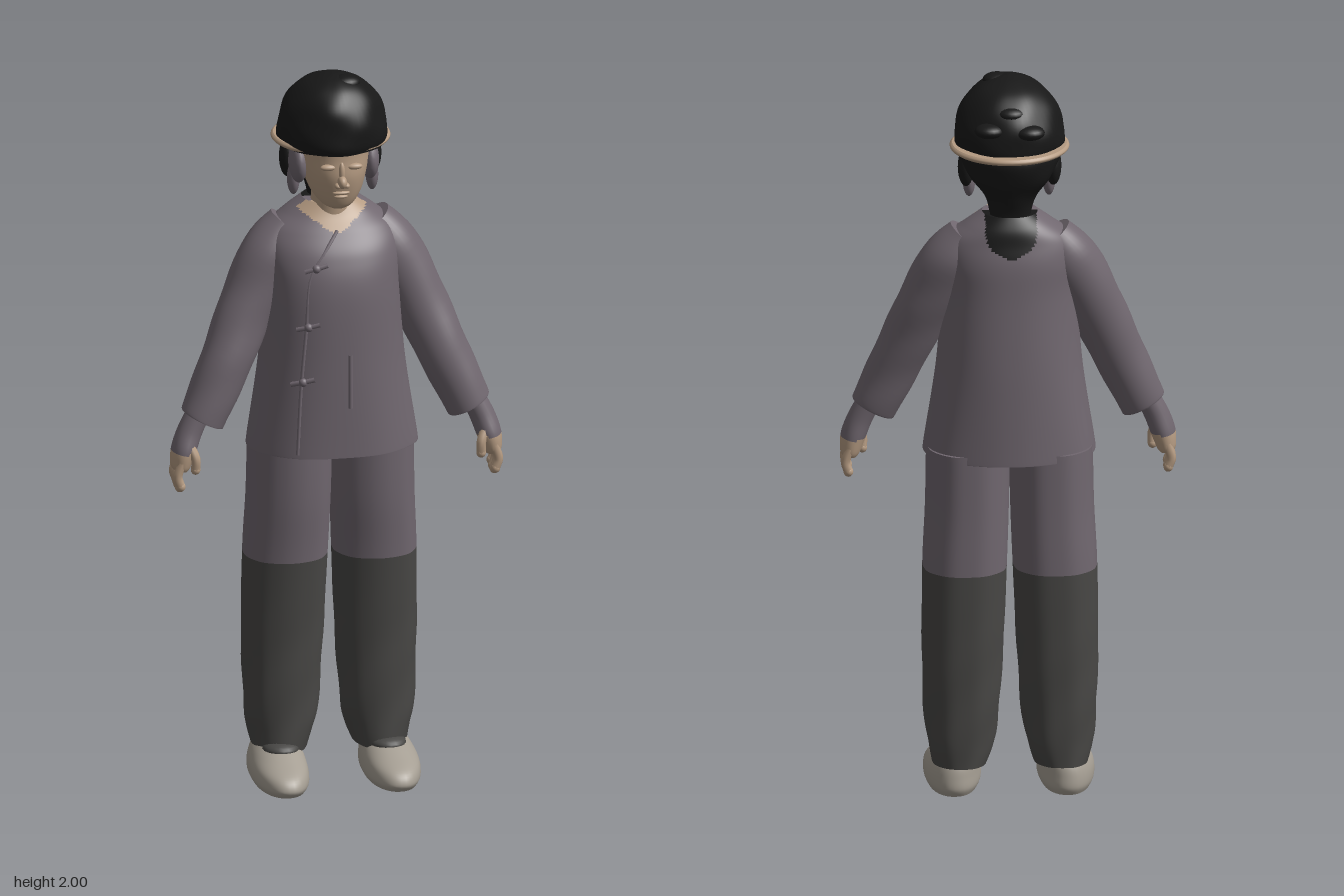
import * as THREE from 'three';

const mat = (name, color) => Object.assign(new THREE.MeshStandardMaterial({ color }), { name });

// Catmull-Rom interpolation of one number
const cr = (a, b, c, d, t) =>
  0.5 * (2 * b + (c - a) * t + (2 * a - 5 * b + 4 * c - d) * t * t + (3 * b - a - 3 * c + d) * t * t * t);

// Skin through rings [x, y, z, rx, rz, tilt], listed bottom to top.
// pick(x, y, z) chooses the material index of each face.
function loft(rings, { seg = 40, steps = 6, n = 2, side = 1, ripple = () => 1, pick = () => 0 } = {}) {
  const pos = [], rows = [];
  const at = (i) => rings[Math.max(0, Math.min(rings.length - 1, i))];
  for (let i = 0; i < rings.length; i++) {
    for (let k = 0; k < (i < rings.length - 1 ? steps : 1); k++) {
      rows.push([0, 1, 2, 3, 4, 5].map((j) =>
        cr(at(i - 1)[j] || 0, at(i)[j] || 0, at(i + 1)[j] || 0, at(i + 2)[j] || 0, k / steps)));
    }
  }
  const power = (v) => Math.sign(v) * Math.abs(v) ** (2 / n);
  const addRing = ([x, y, z, rx, rz, tilt]) => {
    for (let s = 0; s < seg; s++) {
      const a = (s / seg) * Math.PI * 2, w = ripple(a, y);
      const u = rx * power(Math.cos(a)) * w, v = rz * power(Math.sin(a)) * w;
      pos.push(side * x + u * Math.cos(tilt), y + side * u * Math.sin(tilt), z + v);
    }
  };
  rows.forEach(addRing);
  const buckets = [];
  const face = (...f) => {
    const c = [0, 1, 2].map((j) => f.reduce((sum, i) => sum + pos[i * 3 + j], 0) / f.length);
    const m = pick(...c);
    (buckets[m] ||= []).push(f[0], f[1], f[2]);
    if (f.length > 3) buckets[m].push(f[0], f[2], f[3]);
  };
  for (let r = 0; r < rows.length - 1; r++) {
    for (let s = 0; s < seg; s++) {
      const a = r * seg + s, b = r * seg + ((s + 1) % seg);
      face(a, a + seg, b + seg, b);
    }
  }
  // end caps with their own vertices
  [[rows[0], false], [rows[rows.length - 1], true]].forEach(([row, top]) => {
    const first = pos.length / 3;
    addRing(row);
    pos.push(side * row[0], row[1], row[2]);
    for (let s = 0; s < seg; s++) {
      const a = first + s, b = first + ((s + 1) % seg);
      if (top) face(first + seg, b, a); else face(first + seg, a, b);
    }
  });
  const geo = new THREE.BufferGeometry();
  geo.setAttribute('position', new THREE.Float32BufferAttribute(pos, 3));
  const index = [];
  buckets.forEach((list, m) => {
    geo.addGroup(index.length, list.length, m);
    for (const i of list) index.push(i);
  });
  geo.setIndex(index);
  geo.computeVertexNormals();
  return geo;
}

export function createModel() {
  const model = new THREE.Group();
  const cloth = mat('mauve cloth', 0x70676f);
  const dark = mat('charcoal cloth', 0x484745);
  const black = mat('black hair', 0x181818);
  const skin = mat('skin', 0xb59b82);
  const shoe = mat('pale shoe', 0xa59e93);

  const add = (name, geo, material) => {
    const mesh = new THREE.Mesh(geo, material);
    mesh.name = name;
    model.add(mesh);
    return mesh;
  };
  const blob = (name, material, [x, y, z], [rx, ry, rz]) => {
    const geo = new THREE.SphereGeometry(1, 20, 14).scale(rx, ry, rz);
    add(name, geo, material).position.set(x, y, z);
  };
  const tube = (name, points, radius, material) => {
    const curve = new THREE.CatmullRomCurve3(points.map((p) => new THREE.Vector3(...p)));
    add(name, new THREE.TubeGeometry(curve, 24, radius, 8), material);
  };

  // jacket body, with the open neck in front and hair lying on the back
  const torso = [
    [0, 0.95, -0.02, 0.232, 0.170], [0, 0.975, -0.02, 0.230, 0.170], [0, 1.2, -0.018, 0.197, 0.166],
    [0, 1.4, -0.015, 0.185, 0.156], [0, 1.5, -0.025, 0.188, 0.140], [0, 1.56, -0.038, 0.172, 0.114],
    [0, 1.6, -0.05, 0.125, 0.092], [0, 1.635, -0.05, 0.075, 0.072],
  ];
  add('jacketBody', loft(torso, {
    seg: 112, steps: 10, n: 2.2,
    ripple: (a, y) => 1 + 0.008 * Math.sin(a * 7) * Math.max(0, 1.25 - y) / 0.3,
    pick: (x, y, z) => {
      if (z > -0.02 && y > 1.565 && Math.abs(x) < 0.012 + (y - 1.565) * 1.6) return 1;
      if (z < -0.05 && (y > 1.6 ? Math.abs(x) < 0.07 : (x / 0.07) ** 2 + ((y - 1.6) / 0.07) ** 2 < 1)) return 2;
      return 0;
    },
  }), [cloth, skin, black]);

  // front surface of the jacket, for laying details on it
  const front = (x, y) => {
    const i = Math.max(1, torso.findIndex((r) => r[1] >= y));
    const t = (y - torso[i - 1][1]) / (torso[i][1] - torso[i - 1][1]);
    const [zc, rx, rz] = [2, 3, 4].map((j) => THREE.MathUtils.lerp(torso[i - 1][j], torso[i][j], t));
    return [x, y, zc + rz * (1 - Math.abs(x / rx) ** 2.2) ** (1 / 2.2)];
  };
  tube('jacketOverlap', [[0, 1.57], [-0.04, 1.52], [-0.08, 1.46], [-0.095, 1.32], [-0.11, 1.15], [-0.12, 0.96]]
    .map((p) => front(...p)), 0.005, cloth);
  tube('frontSeam', [[0.022, 1.09], [0.022, 1.16], [0.022, 1.24]].map((p) => front(...p)), 0.006, cloth);
  [[-0.065, 1.48], [-0.09, 1.32], [-0.105, 1.165]].forEach(([x, y]) => {
    tube('toggleLoop', [-0.03, 0, 0.03].map((d) => front(x + d, y + d * 0.3)), 0.007, cloth);
    blob('toggleKnot', cloth, front(x, y), [0.012, 0.012, 0.012]);
  });

  for (const side of [1, -1]) {
    // sleeve
    add('sleeve', loft([
      [0.365, 1.05, 0.04, 0.062, 0.062, 0.47], [0.357, 1.07, 0.037, 0.065, 0.064, 0.47],
      [0.298, 1.2, 0.02, 0.071, 0.07, 0.47], [0.228, 1.36, -0.015, 0.077, 0.075, 0.46],
      [0.162, 1.49, -0.035, 0.08, 0.084, 0.5], [0.115, 1.565, -0.045, 0.055, 0.065, 0.65],
    ], { side, ripple: (a, y) => 1 + 0.015 * Math.sin(2 * a + y * 45) }), cloth);

    // hand: covered wrist, bare knuckles, fingers and thumb
    add('hand', loft([
      [0.43, 0.915, 0.05, 0.022, 0.038, 0.2], [0.427, 0.93, 0.05, 0.028, 0.044, 0.2],
      [0.418, 0.97, 0.05, 0.034, 0.046, 0.2], [0.4, 1.02, 0.045, 0.034, 0.038, 0.35],
      [0.37, 1.08, 0.04, 0.032, 0.035, 0.45],
    ], { side, seg: 24, pick: (x, y) => (y < 0.965 ? 1 : 0) }), [cloth, skin]);
    for (let i = 0; i < 4; i++) {
      const z = 0.017 + i * 0.022, tip = 0.862 + Math.abs(i - 1.6) * 0.008;
      tube('finger', [[side * 0.428, 0.94, z], [side * 0.44, 0.9, z], [side * 0.432, tip, z]], 0.0125, skin);
      blob('fingertip', skin, [side * 0.432, tip, z], [0.0125, 0.014, 0.0125]);
    }
    tube('thumb', [[side * 0.405, 0.985, 0.075], [side * 0.392, 0.95, 0.088], [side * 0.392, 0.92, 0.085]], 0.013, skin);
    blob('thumbTip', skin, [side * 0.392, 0.92, 0.085], [0.013, 0.014, 0.013]);

    // trouser leg, two-tone with soft folds towards the hem
    add('trouserLeg', loft([
      [0.137, 0.08, -0.058, 0.074, 0.105], [0.134, 0.13, -0.06, 0.088, 0.106], [0.132, 0.2, -0.06, 0.1, 0.107],
      [0.128, 0.4, -0.06, 0.11, 0.111], [0.122, 0.63, -0.051, 0.114, 0.121],
      [0.115, 0.8, -0.04, 0.113, 0.13], [0.112, 0.97, -0.035, 0.113, 0.135],
    ], {
      side, seg: 56, n: 2.25,
      ripple: (a, y) => 1 + 0.05 * Math.max(0, 0.6 - y) * Math.sin(3 * a + y * 32) + 0.006 * Math.sin(9 * a),
      pick: (x, y) => (y < 0.63 ? 1 : 0),
    }), [cloth, dark]);

    // shoe with a low rounded toe
    add('shoe', loft([
      [0.153, 0, 0.015, 0.068, 0.165], [0.153, 0.02, 0.017, 0.077, 0.177], [0.153, 0.05, 0.008, 0.076, 0.166],
      [0.15, 0.078, -0.022, 0.066, 0.13], [0.147, 0.1, -0.045, 0.05, 0.095],
    ], { side, n: 2.2 }), shoe);
    blob('shoeOpening', dark, [side * 0.147, 0.092, 0.02], [0.05, 0.022, 0.055]);

    // ear and side lock
    blob('ear', cloth, [side * 0.098, 1.755, 0.015], [0.025, 0.056, 0.055]);
    blob('sideLock', cloth, [side * 0.108, 1.705, 0.0], [0.017, 0.045, 0.025]);
    blob('lockEnd', black, [side * 0.118, 1.755, -0.035], [0.022, 0.055, 0.03]);
    // closed eyelid
    blob('eyelid', skin, [side * 0.036, 1.772, 0.128], [0.022, 0.009, 0.012]);
    blob('nostril', skin, [side * 0.012, 1.722, 0.14], [0.009, 0.008, 0.012]);
  }

  // neck and face
  add('neck', loft([
    [0, 1.57, -0.03, 0.062, 0.066], [0, 1.64, -0.02, 0.055, 0.06], [0, 1.74, -0.01, 0.055, 0.06],
  ], { pick: (x, y, z) => (z < -0.04 ? 1 : 0) }), [skin, black]);
  add('face', loft([
    [0, 1.642, 0.075, 0.018, 0.02], [0, 1.655, 0.058, 0.045, 0.053], [0, 1.69, 0.03, 0.071, 0.096],
    [0, 1.74, 0.018, 0.086, 0.12], [0, 1.79, 0.0, 0.096, 0.136], [0, 1.84, 0.0, 0.1, 0.138],
  ], { n: 2.15, pick: (x, y, z) => (z < -0.03 ? 1 : 0) }), [skin, black]);
  blob('nose', skin, [0, 1.732, 0.14], [0.013, 0.018, 0.022]);
  blob('noseBridge', skin, [0, 1.758, 0.133], [0.009, 0.03, 0.012]);
  blob('upperLip', skin, [0, 1.698, 0.125], [0.024, 0.006, 0.011]);
  blob('lowerLip', skin, [0, 1.686, 0.12], [0.02, 0.006, 0.011]);

  // hair: cap, gathered nape, rolled tufts
  const tousle = (a, y) => 1 + 0.012 * Math.sin(7 * a + y * 40) + 0.01 * Math.sin(4 * a - y * 55);
  add('hairCap', loft([
    [0, 1.805, -0.01, 0.142, 0.148], [0, 1.83, -0.01, 0.149, 0.157], [0, 1.88, -0.01, 0.144, 0.156],
    [0, 1.93, -0.005, 0.124, 0.138], [0, 1.97, 0.0, 0.086, 0.102], [0, 1.992, 0.01, 0.04, 0.05],
    [0, 2.0, 0.015, 0.004, 0.004],
  ], { seg: 56, ripple: tousle }), black);
  add('napeHair', loft([
    [0, 1.59, -0.085, 0.05, 0.035], [0, 1.64, -0.08, 0.056, 0.042], [0, 1.69, -0.085, 0.07, 0.055],
    [0, 1.74, -0.09, 0.108, 0.074], [0, 1.79, -0.08, 0.13, 0.098], [0, 1.82, -0.07, 0.135, 0.105],
  ], { ripple: tousle }), black);
  [[0.06, 1.89, -0.14], [-0.05, 1.885, -0.145], [0.0, 1.93, -0.115], [0.03, 1.98, 0.03], [-0.04, 1.965, 0.02]]
    .forEach((p) => blob('hairTuft', black, p, [0.04, 0.02, 0.035]));

  // headband, projecting at the sides and back
  add('headband', loft([
    [0, 1.806, -0.03, 0.155, 0.16], [0, 1.811, -0.03, 0.161, 0.165], [0, 1.817, -0.03, 0.161, 0.165],
    [0, 1.822, -0.03, 0.155, 0.16],
  ], { seg: 56, steps: 2 }), skin);

  return model;
}
